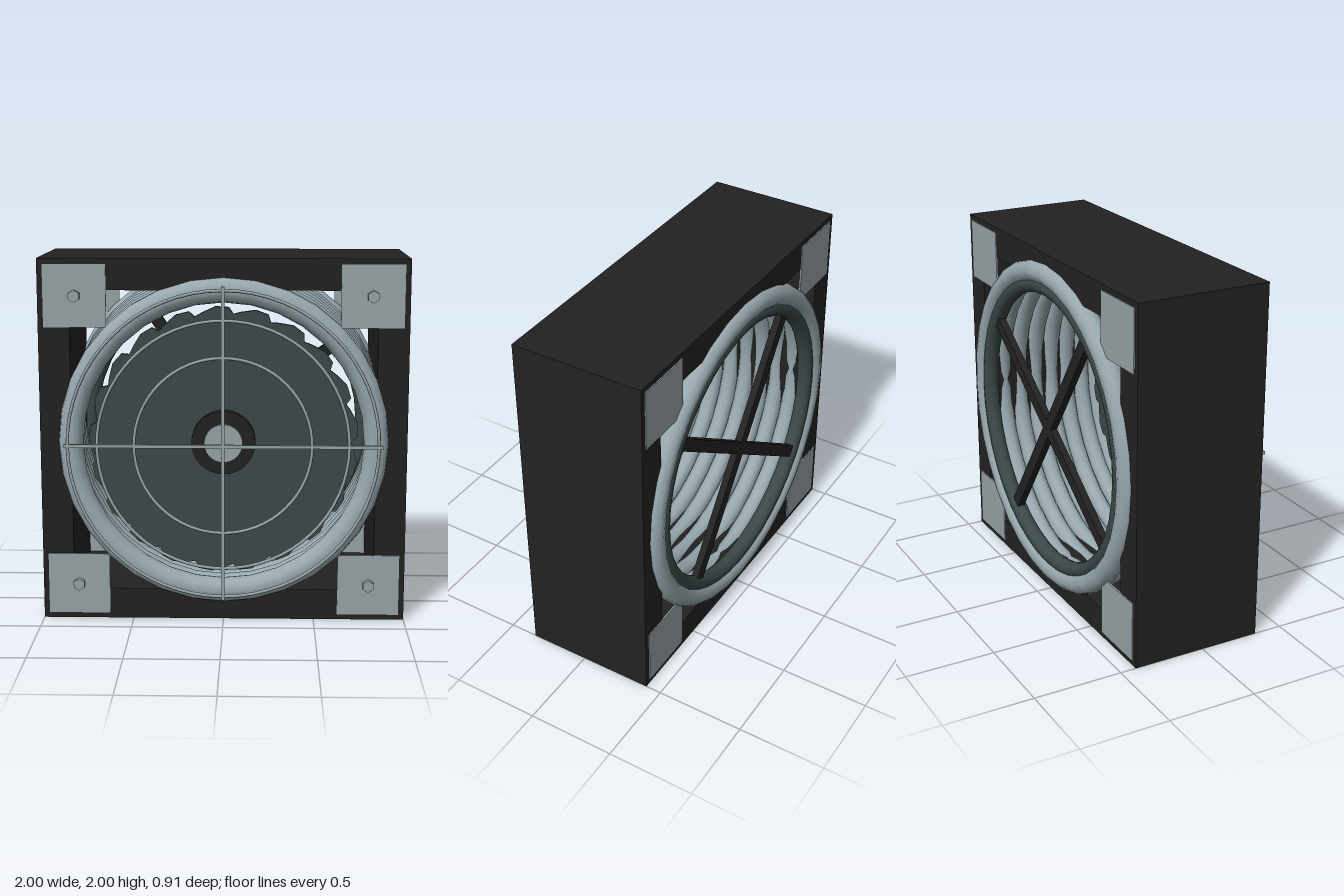
import * as THREE from 'three';

export function createModel() {
  const model = new THREE.Group();
  const mat = (name, color) => {
    const m = new THREE.MeshStandardMaterial({ color });
    m.name = name;
    return m;
  };
  const black = mat('black casing', 0x222222);
  const steel = mat('pale steel', 0x98a4a7);
  const tube = mat('blue grey tubing', 0x98a8ae);
  const slate = mat('dark slate', 0x3c4848);

  const add = (name, geometry, material, x = 0, y = 1, z = 0) => {
    const mesh = new THREE.Mesh(geometry, material);
    mesh.name = name;
    mesh.position.set(x, y, z);
    model.add(mesh);
    return mesh;
  };
  const ring = (name, radius, thick, z, material, sides = 12, steps = 40) =>
    add(name, new THREE.TorusGeometry(radius, thick, sides, steps), material, 0, 1, z);
  const disc = (name, radius, depth, z, material, sides = 32) =>
    add(name, new THREE.CylinderGeometry(radius, radius, depth, sides).rotateX(Math.PI / 2), material, 0, 1, z);
  const square = (Type, s) => new Type([[-s, -s], [s, -s], [s, s], [-s, s]].map(p => new THREE.Vector2(...p)));

  // Square casing, open front and back
  const outline = square(THREE.Shape, 1);
  outline.holes.push(square(THREE.Path, 0.83));
  add('casing', new THREE.ExtrudeGeometry(outline, { depth: 0.75, bevelEnabled: false }), black, 0, 1, -0.41);

  // Corner plates on both faces, hexagonal bolts on the front
  for (const sx of [-1, 1]) for (const sy of [-1, 1]) {
    const x = sx * 0.8, y = 1 + sy * 0.8;
    add('frontCornerPlate', new THREE.BoxGeometry(0.34, 0.34, 0.01), steel, x, y, 0.341);
    add('backCornerPlate', new THREE.BoxGeometry(0.34, 0.34, 0.01), steel, x, y, -0.411);
    const bolt = new THREE.CylinderGeometry(0.034, 0.034, 0.035, 6).rotateX(Math.PI / 2);
    add('bolt', bolt, steel, x, y, 0.36);
  }

  // Mouth rings and the stack of coils between them
  ring('frontRing', 0.833, 0.068, 0.332, tube, 12, 32);
  ring('backRing', 0.882, 0.063, -0.392, tube, 12, 32);
  ring('backInnerRim', 0.808, 0.045, -0.395, slate);
  const coils = 6;
  for (let i = 0; i < coils; i++) {
    const t = (i + 1) / (coils + 1);
    ring('coil', 0.882 - 0.04 * t, 0.05, -0.392 + 0.724 * t, tube, 10, 32);
  }

  // Rotor with overlapping blade tips
  const blades = 21;
  const tips = [];
  for (let i = 0; i < blades; i++) {
    for (const [f, r] of [[0, 0.70], [0.12, 0.735], [0.45, 0.74], [0.8, 0.715]]) {
      const a = (i + f) / blades * Math.PI * 2;
      tips.push(new THREE.Vector2(Math.cos(a) * r, Math.sin(a) * r));
    }
  }
  add('rotor', new THREE.ExtrudeGeometry(new THREE.Shape(tips), { depth: 0.03, bevelEnabled: false }), slate, 0, 1, 0.265);
  disc('hub', 0.175, 0.09, 0.3, black);
  disc('hubCap', 0.105, 0.03, 0.35, steel);

  // Crossed struts behind the rotor
  for (const turn of [0, Math.PI / 2]) {
    const strut = add('strut', new THREE.BoxGeometry(1.6, 0.07, 0.04), black, 0, 1, -0.4);
    strut.rotation.z = turn + 0.61;
  }

  // Wire guard in front
  for (const r of [0.48, 0.68, 0.84]) ring('guardRing', r, 0.009, 0.443, steel, 8, 64);
  for (const turn of [0, Math.PI / 2]) {
    const bar = add('guardBar', new THREE.BoxGeometry(1.72, 0.018, 0.02), steel, 0, 1, 0.443);
    bar.rotation.z = turn;
  }
  return model;
}
